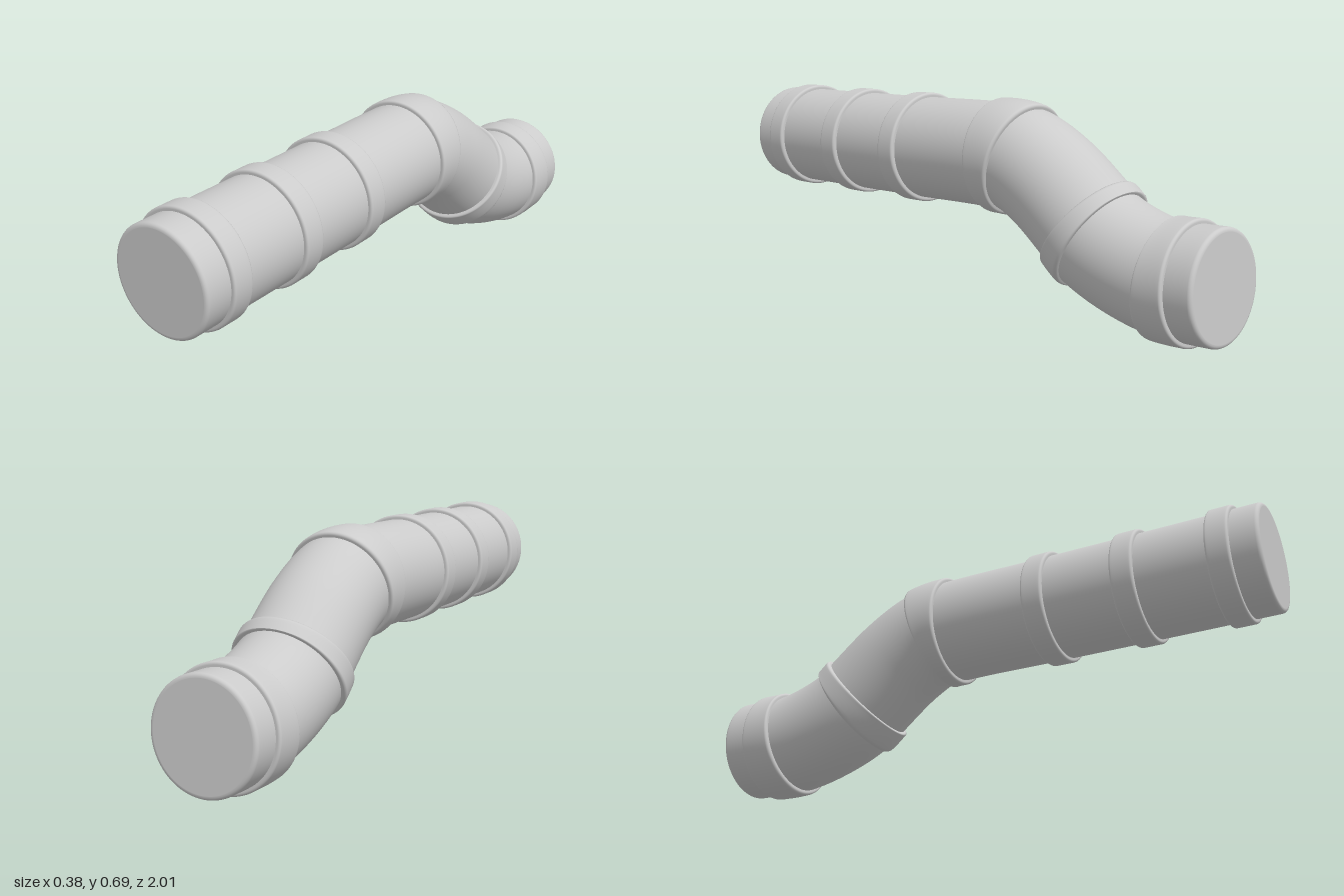
import * as THREE from 'three';

const PIPE_R = 0.177, COLLAR_R = 0.192, SIDES = 96;
const material = new THREE.MeshStandardMaterial({ color: 0xcccccc });

// Centre line of the pipe as [y, z], front to back
const path = new THREE.CatmullRomCurve3([
  [0.485, 1], [0.488, 0.6], [0.492, 0.25], [0.497, -0.1], [0.491, -0.225],
  [0.43, -0.354], [0.316, -0.503], [0.273, -0.556], [0.226, -0.665],
  [0.194, -0.8], [0.194, -0.91], [0.197, -1],
].map(([y, z]) => new THREE.Vector3(0, y, z)));
path.arcLengthDivisions = 600;
const LENGTH = path.getLength();

// Distance along the path at which it reaches a given z
function distanceAt(z) {
  let lo = 0, hi = 1;
  for (let i = 0; i < 30; i++) {
    const mid = (lo + hi) / 2;
    if (path.getPointAt(mid).z > z) lo = mid; else hi = mid;
  }
  return lo * LENGTH;
}

// Turn a [radius, distance] profile and bend the result along the path
function bentLathe(name, profile) {
  const geometry = new THREE.LatheGeometry(profile.map(([r, s]) => new THREE.Vector2(r, s)), SIDES);
  const pos = geometry.attributes.position, nor = geometry.attributes.normal;
  const xAxis = new THREE.Vector3(1, 0, 0), v = new THREE.Vector3(), frame = new THREE.Matrix4();
  for (let i = 0; i < pos.count; i++) {
    const u = THREE.MathUtils.clamp(pos.getY(i) / LENGTH, 0, 1);
    const tangent = path.getTangentAt(u);
    frame.makeBasis(xAxis, tangent, new THREE.Vector3().crossVectors(xAxis, tangent));
    v.set(pos.getX(i), 0, pos.getZ(i)).applyMatrix4(frame).add(path.getPointAt(u));
    pos.setXYZ(i, v.x, v.y, v.z);
    v.fromBufferAttribute(nor, i).applyMatrix4(frame).normalize();
    nor.setXYZ(i, v.x, v.y, v.z);
  }
  const mesh = new THREE.Mesh(geometry, material);
  mesh.name = name;
  return mesh;
}

// Profile from a to b with rounded edges, starting and ending at the inner radius
function roundedProfile(inner, outer, a, b, fillet, steps) {
  const start = [], end = [], middle = [];
  for (let i = 0; i <= 5; i++) {
    const t = (i / 5) * Math.PI / 2;
    const r = outer - fillet * (1 - Math.sin(t)), d = fillet * (1 - Math.cos(t));
    start.push([r, a + d]);
    end.unshift([r, b - d]);
  }
  for (let i = 1; i < steps; i++) {
    middle.push([outer, a + fillet + (b - a - 2 * fillet) * i / steps]);
  }
  const rim = outer - fillet - 0.001;
  return [[inner, a], [rim, a], ...start, ...middle, ...end, [rim, b], [inner, b]];
}

export function createModel() {
  const group = new THREE.Group();
  group.name = 'bentPipe';

  // Closed pipe with softly rounded ends
  group.add(bentLathe('pipe', roundedProfile(0, PIPE_R, 0, LENGTH, 0.013, 110)));

  // Joint collars, by the z of their front and back edges
  const collars = [
    [0.908, 0.832], [0.597, 0.52], [0.282, 0.207],
    [-0.13, -0.232], [-0.503, -0.556], [-0.803, -0.908],
  ];
  collars.forEach(([front, back], i) => {
    group.add(bentLathe(`collar${i + 1}`,
      roundedProfile(PIPE_R - 0.01, COLLAR_R, distanceAt(front), distanceAt(back), 0.008, 10)));
  });
  return group;
}
